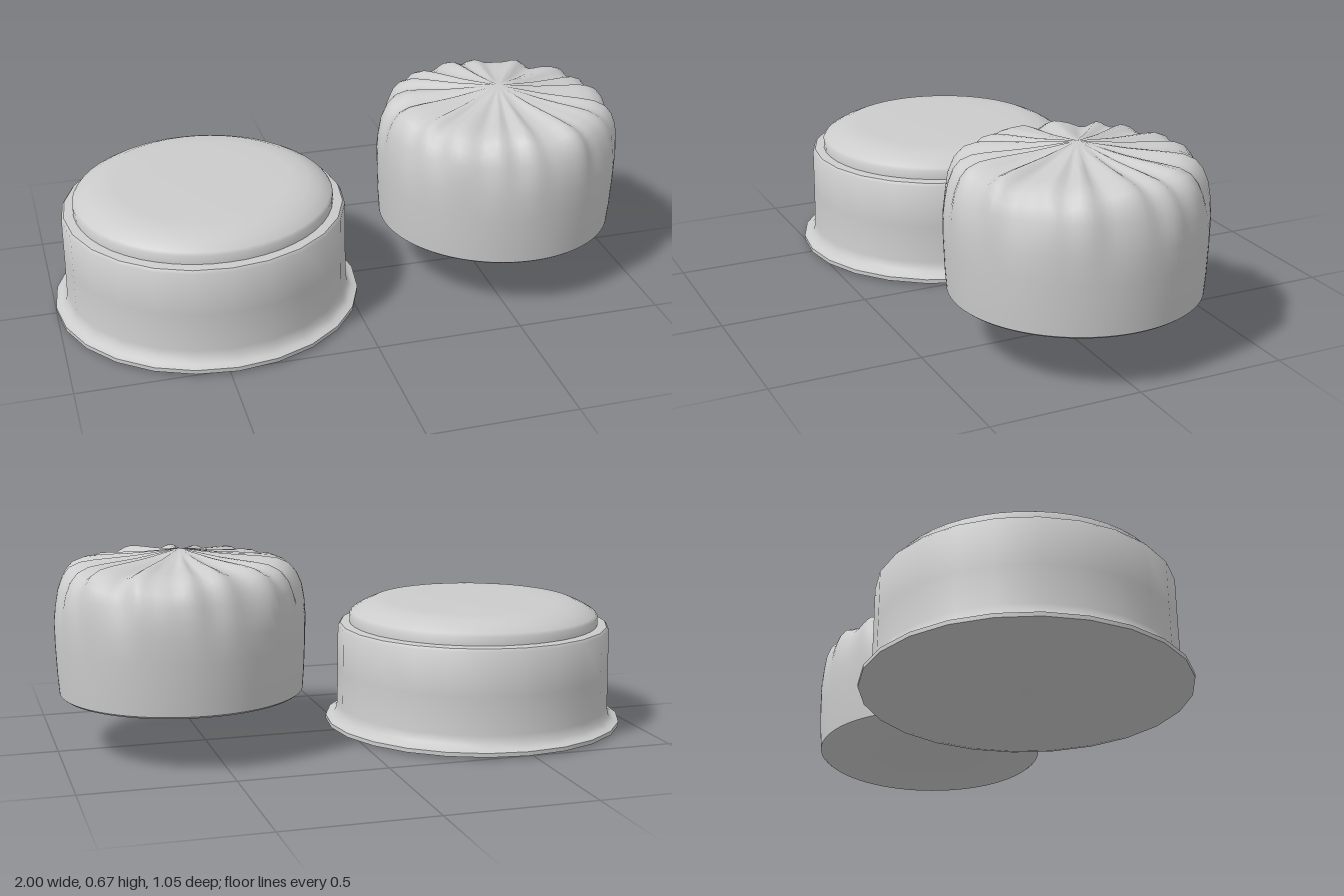
import * as THREE from 'three';
import { toCreasedNormals } from 'three/addons/utils/BufferGeometryUtils.js';

const material = new THREE.MeshStandardMaterial({ color: 0xcccccc });

// Solid of revolution from [radius, height] pairs, bottom to top
function turned(profile, sides) {
  return new THREE.LatheGeometry(profile.map(([r, y]) => new THREE.Vector2(r, y)), sides);
}

function part(name, geometry, crease) {
  const mesh = new THREE.Mesh(toCreasedNormals(geometry, crease), material);
  mesh.name = name;
  return mesh;
}

// Irregular pleats around the axis, roughly -1..1
function pleat(a) {
  return 0.5 * Math.sin(17 * a + 0.8 * Math.sin(3 * a)) +
    0.3 * Math.sin(11 * a + 1.3) + 0.25 * Math.sin(26 * a + 2.1);
}

// Gathered cover: smooth skirt, pleats that grow over the shoulder and fade at the peak
function gatheredGeometry() {
  const outline = [
    [0.414, 0.26], [0.418, 0.36], [0.419, 0.44], [0.413, 0.49], [0.403, 0.54],
    [0.386, 0.58], [0.362, 0.608], [0.325, 0.624], [0.28, 0.63], [0.22, 0.635],
    [0.15, 0.643], [0.08, 0.655], [0, 0.668],
  ];
  const geometry = turned([[0, 0.185], [0.4, 0.185], [0.409, 0.192], ...outline], 120);
  const pos = geometry.attributes.position;
  const smooth = THREE.MathUtils.smoothstep;
  for (let i = 0; i < pos.count; i++) {
    const x = pos.getX(i), y = pos.getY(i), z = pos.getZ(i);
    const r = Math.hypot(x, z);
    if (r < 1e-4 || y < 0.3) continue;
    const a = Math.atan2(z, x);
    const shoulder = smooth(y, 0.46, 0.6);
    const lift = 0.014 * shoulder * smooth(r, 0, 0.26) * pleat(a);
    const bulge = smooth(y, 0.4, 0.57) * smooth(r, 0.2, 0.36) *
      (0.009 * pleat(a + 0.06) + 0.004 * Math.sin(7 * a + 9 * y));
    const k = 1 + bulge / r;
    pos.setXYZ(i, x * k, y + lift, z * k);
  }
  return geometry;
}

export function createModel() {
  const model = new THREE.Group();

  // Low round tub with a flared foot and a bevelled lid
  const tub = new THREE.Group();
  tub.name = 'tub';
  tub.position.x = -0.475;
  tub.add(part('tubBody', turned([
    [0, 0.005], [0.495, 0], [0.525, 0.008], [0.525, 0.022], [0.505, 0.028],
    [0.49, 0.042], [0.484, 0.07], [0.482, 0.2], [0.481, 0.35],
    [0.473, 0.36], [0.435, 0.364], [0, 0.364],
  ], 24), 0.75));
  tub.add(part('tubLid', turned([
    [0.44, 0.355], [0.44, 0.392], [0.432, 0.402], [0.4, 0.421], [0.36, 0.438],
    [0.3, 0.441], [0.18, 0.443], [0, 0.444],
  ], 48), 0.9));
  model.add(tub);

  // Pleated cover beside the tub
  const cover = part('pleatedCover', gatheredGeometry(), 0.8);
  cover.position.x = 0.577;
  model.add(cover);

  return model;
}
